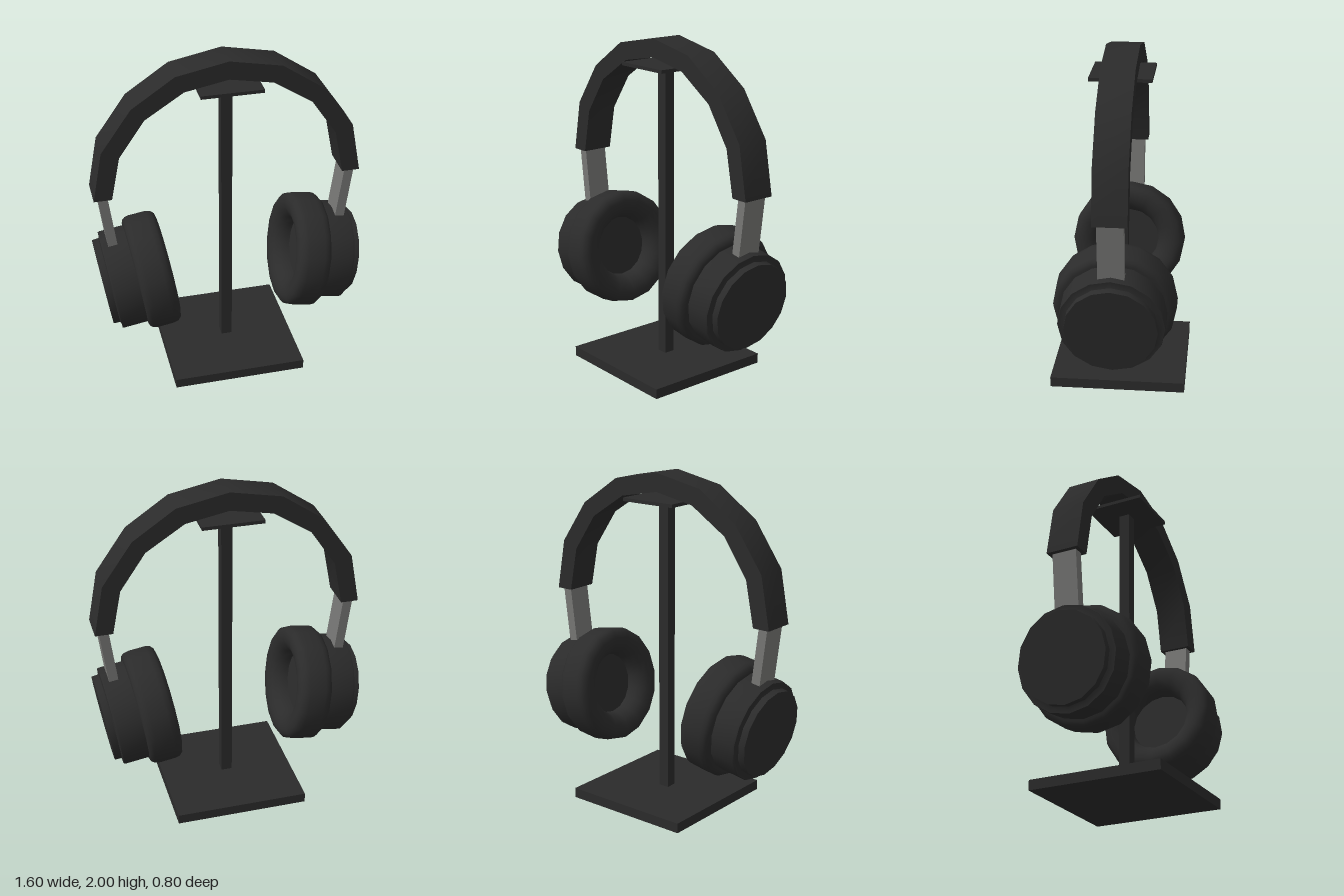
import * as THREE from 'three';
import { toCreasedNormals } from 'three/addons/utils/BufferGeometryUtils.js';

const black = new THREE.MeshStandardMaterial({ color: 0x2b2b2b });
black.name = 'matte black';
const grey = new THREE.MeshStandardMaterial({ color: 0x777775 });
grey.name = 'metal grey';

function add(parent, name, geometry, material, x = 0, y = 0, z = 0) {
  const mesh = new THREE.Mesh(geometry, material);
  mesh.name = name;
  mesh.position.set(x, y, z);
  parent.add(mesh);
  return mesh;
}

// Sixteen-sided turned part, smooth around its axis with sharp corners kept
function turned(profile) {
  const points = profile.map(([r, s]) => new THREE.Vector2(r, s));
  return toCreasedNormals(new THREE.LatheGeometry(points, 16), 0.65);
}

// Faceted arch, mirrored from its right half
function bandGeometry() {
  const outer = [[0, 2], [0.305, 1.94], [0.555, 1.77], [0.733, 1.515], [0.79, 1.208]];
  const inner = [[0, 1.89], [0.255, 1.842], [0.482, 1.695], [0.632, 1.475], [0.685, 1.208]];
  const mirror = (list) => list.slice(1).reverse().map(([x, y]) => [-x, y]);
  const outline = [...mirror(outer), ...outer, ...inner.slice().reverse(), ...mirror(inner).reverse()];
  const shape = new THREE.Shape(outline.map(([x, y]) => new THREE.Vector2(x, y)));
  const geometry = new THREE.ExtrudeGeometry(shape, { depth: 0.194, bevelEnabled: false });
  geometry.translate(0, 0, -0.097);
  return toCreasedNormals(geometry, 0.65);
}

// Slider and tilted ear cup for the +x side
function earSide(name) {
  const side = new THREE.Group();
  side.name = name;

  const slider = add(side, 'slider', new THREE.BoxGeometry(0.056, 0.38, 0.148), grey, 0.716, 1.05, 0);
  slider.rotation.z = -0.125;

  // Local y runs from the outer face of the cup towards the head
  const ear = new THREE.Group();
  ear.name = 'earCup';
  ear.position.set(0.76, 0.575, 0);
  ear.rotation.z = THREE.MathUtils.degToRad(81.1);
  side.add(ear);

  add(ear, 'cupShell', turned([
    [0, 0], [0.262, 0], [0.264, 0.04], [0.28, 0.045], [0.3, 0.045], [0.303, 0.055], [0.303, 0.23],
  ]), black);
  add(ear, 'cushion', turned([
    [0.2, 0.2], [0.315, 0.2], [0.335, 0.207], [0.348, 0.225], [0.353, 0.25], [0.353, 0.35],
    [0.347, 0.378], [0.328, 0.398], [0.295, 0.406], [0.26, 0.401], [0.225, 0.384], [0.198, 0.352],
    [0.185, 0.31], [0.185, 0.28],
  ]), black);
  const pad = add(ear, 'speakerPad', new THREE.CircleGeometry(0.195, 16), black, 0, 0.295, 0);
  pad.rotation.x = -Math.PI / 2;
  return side;
}

export function createModel() {
  const model = new THREE.Group();
  model.name = 'headphonesOnStand';

  // Stand
  const stand = new THREE.Group();
  stand.name = 'stand';
  add(stand, 'base', new THREE.BoxGeometry(0.8, 0.06, 0.8), black, 0, 0.03, 0);
  add(stand, 'pole', new THREE.BoxGeometry(0.066, 1.78, 0.066), black, 0, 0.945, 0);
  add(stand, 'restPlate', new THREE.BoxGeometry(0.36, 0.02, 0.36), black, 0, 1.84, 0);
  model.add(stand);

  // Headphones
  add(model, 'headband', bandGeometry(), black);
  const left = earSide('leftEar');
  const right = earSide('rightEar');
  right.rotation.y = Math.PI;
  model.add(left, right);
  return model;
}
